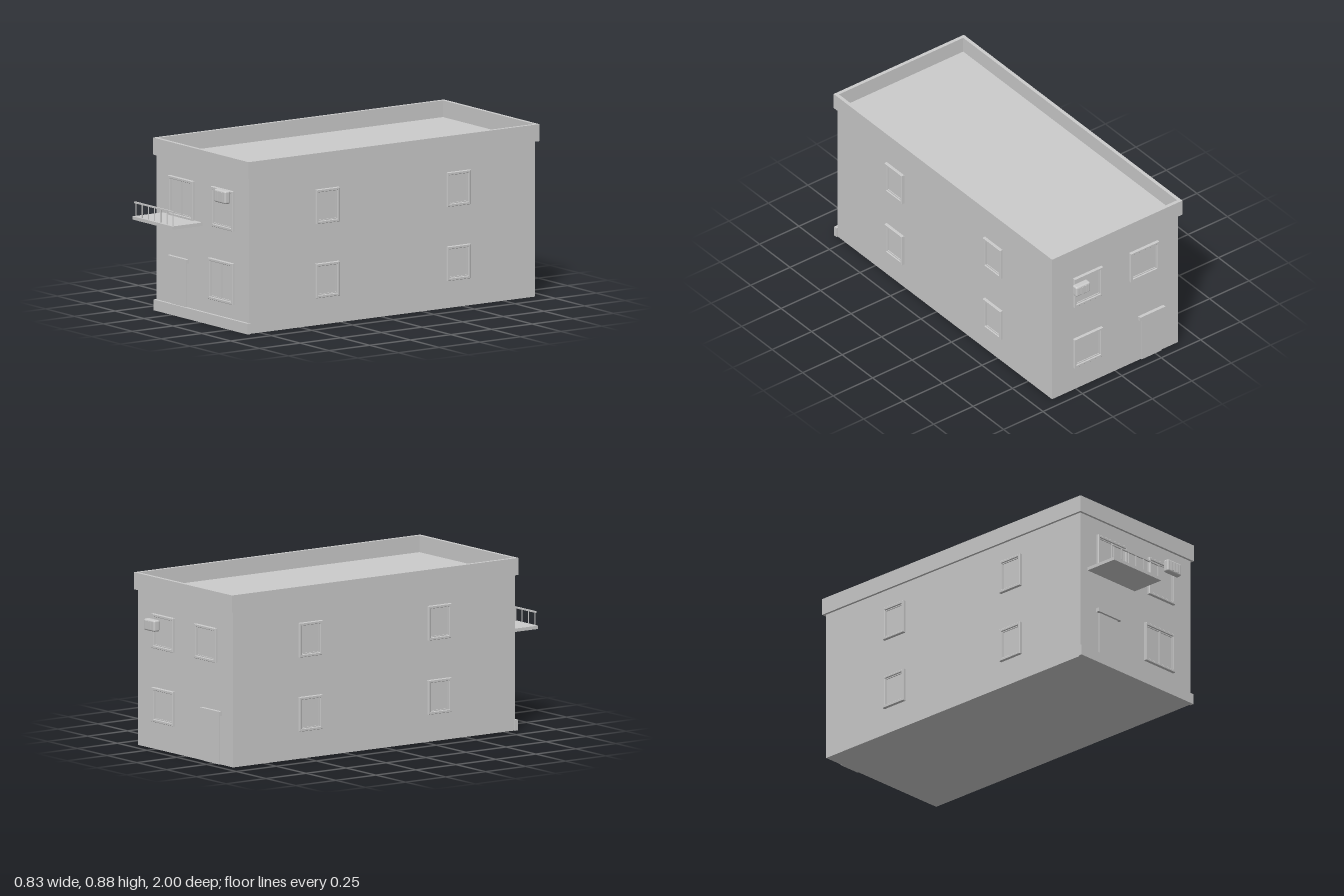
import * as THREE from 'three';
import { RoundedBoxGeometry } from 'three/addons/geometries/RoundedBoxGeometry.js';

const material = new THREE.MeshStandardMaterial({ color: 0xcccccc });

function add(parent, name, geometry, x = 0, y = 0, z = 0) {
  const mesh = new THREE.Mesh(geometry, material);
  mesh.name = name;
  mesh.position.set(x, y, z);
  parent.add(mesh);
  return mesh;
}

// Box given by its limits on each axis
function block(parent, name, [x0, x1], [y0, y1], [z0, z1]) {
  return add(parent, name, new THREE.BoxGeometry(x1 - x0, y1 - y0, z1 - z0),
    (x0 + x1) / 2, (y0 + y1) / 2, (z0 + z1) / 2);
}

function rectangle(Type, w, h) {
  return new Type([[-w, -h], [w, -h], [w, h], [-w, h]].map(([x, y]) => new THREE.Vector2(x / 2, y / 2)));
}

// Rectangular ring, extruded along z
function ring(w, h, border, depth, bevel = 0) {
  const shape = rectangle(THREE.Shape, w - 2 * bevel, h - 2 * bevel);
  shape.holes.push(rectangle(THREE.Path, w - 2 * border + 2 * bevel, h - 2 * border + 2 * bevel));
  const geometry = new THREE.ExtrudeGeometry(shape, {
    depth: depth - bevel, bevelEnabled: bevel > 0, bevelSize: bevel, bevelThickness: bevel, bevelSegments: 1,
  });
  return geometry;
}

// Group whose local x runs along a wall and whose z points out of it
function wallGroup(parent, name, x, z, turn) {
  const group = new THREE.Group();
  group.name = name;
  group.position.set(x, 0, z);
  group.rotation.y = turn;
  parent.add(group);
  return group;
}

function addWindow(wall, name, [x0, x1], [y0, y1], mullion = false) {
  const win = new THREE.Group();
  const w = x1 - x0, h = y1 - y0;
  win.name = name;
  win.position.set((x0 + x1) / 2, (y0 + y1) / 2, 0);
  add(win, 'windowFrame', ring(w, h, 0.014, 0.015, 0.002));
  add(win, 'windowSash', ring(w - 0.026, h - 0.026, 0.006, 0.008));
  block(win, 'windowPane', [-w / 2 + 0.01, w / 2 - 0.01], [-h / 2 + 0.01, h / 2 - 0.01], [-0.004, 0.003]);
  if (mullion) block(win, 'windowMullion', [-0.004, 0.004], [-h / 2 + 0.014, h / 2 - 0.014], [0, 0.009]);
  wall.add(win);
}

function addDoor(wall, [x0, x1], [y0, y1], lintelHeight) {
  block(wall, 'door', [x0, x1], [y0, y1], [-0.004, 0.006]);
  block(wall, 'doorLintel', [x0 - 0.018, x1 + 0.018], [y1, y1 + lintelHeight], [-0.004, 0.018]);
}

// Rounded casing with a raised grille of vertical ribs
function addAirConditioner(wall, x, y, z, w, h, d) {
  const unit = new THREE.Group();
  unit.name = 'airConditioner';
  unit.position.set(x, y, z);
  add(unit, 'casing', new RoundedBoxGeometry(w, h, d - 0.003, 3, 0.009), 0, 0, -0.0015);
  for (let i = 0; i < 7; i++) {
    add(unit, 'grilleRib', new THREE.BoxGeometry(w * 0.055, h * 0.7, 0.006), (i - 3) * w * 0.11, 0, d / 2 - 0.003);
  }
  wall.add(unit);
}

export function createModel() {
  const model = new THREE.Group();
  model.name = 'house';

  const zFront = 0.815, zBack = -0.945, half = 0.4;

  // Main volume; its top is the flat roof
  block(model, 'walls', [-half, half], [0, 0.795], [zBack, zFront]);

  // Parapet around the roof
  const parapet = add(model, 'parapet', ring(0.826, 1.79, 0.019, 0.087), 0, 0.793, -0.067);
  parapet.rotation.x = -Math.PI / 2;

  // Plinth along the front
  block(model, 'frontPlinth', [-0.408, 0.408], [0, 0.055], [0.81, 0.83]);

  // Front wall
  const front = wallGroup(model, 'frontWall', 0, zFront, 0);
  addWindow(front, 'balconyWindow', [-0.284, -0.07], [0.505, 0.708], true);
  addWindow(front, 'upperFrontWindow', [0.087, 0.275], [0.505, 0.708]);
  addWindow(front, 'lowerFrontWindow', [0.062, 0.275], [0.13, 0.34], true);
  addDoor(front, [-0.267, -0.137], [0.055, 0.281], 0.02);
  addAirConditioner(front, 0.225, 0.681, 0.044, 0.1, 0.066, 0.037);

  // Balcony with a railing along its outer edge
  const balcony = new THREE.Group();
  balcony.name = 'balcony';
  model.add(balcony);
  block(balcony, 'balconySlab', [-0.348, -0.005], [0.49, 0.507], [0.81, 1]);
  block(balcony, 'handrail', [-0.347, -0.006], [0.573, 0.581], [0.983, 0.991]);
  for (let i = 0; i < 7; i++) {
    add(balcony, 'railingPost', new THREE.CylinderGeometry(0.003, 0.003, 0.07, 8), -0.337 + i * 0.0534, 0.54, 0.987);
  }

  // Back wall, local x runs towards -x
  const back = wallGroup(model, 'backWall', 0, zBack, Math.PI);
  addWindow(back, 'upperBackWindow', [-0.268, -0.088], [0.515, 0.69]);
  addWindow(back, 'lowerBackWindow', [-0.268, -0.088], [0.14, 0.315]);
  addWindow(back, 'upperBackWindow', [0.088, 0.268], [0.515, 0.69]);
  addDoor(back, [0.163, 0.288], [0, 0.25], 0.022);
  addAirConditioner(back, -0.24, 0.638, 0.035, 0.09, 0.058, 0.04);

  // Side walls, two windows on each floor
  for (const side of [-1, 1]) {
    const wall = wallGroup(model, side > 0 ? 'leftWall' : 'rightWall', side * half, 0, side * Math.PI / 2);
    for (const z of [0.338, -0.468]) {
      for (const y of [0.14, 0.518]) {
        const x = -side * z;
        addWindow(wall, 'sideWindow', [x - 0.072, x + 0.072], [y, y + 0.175]);
      }
    }
  }
  return model;
}
